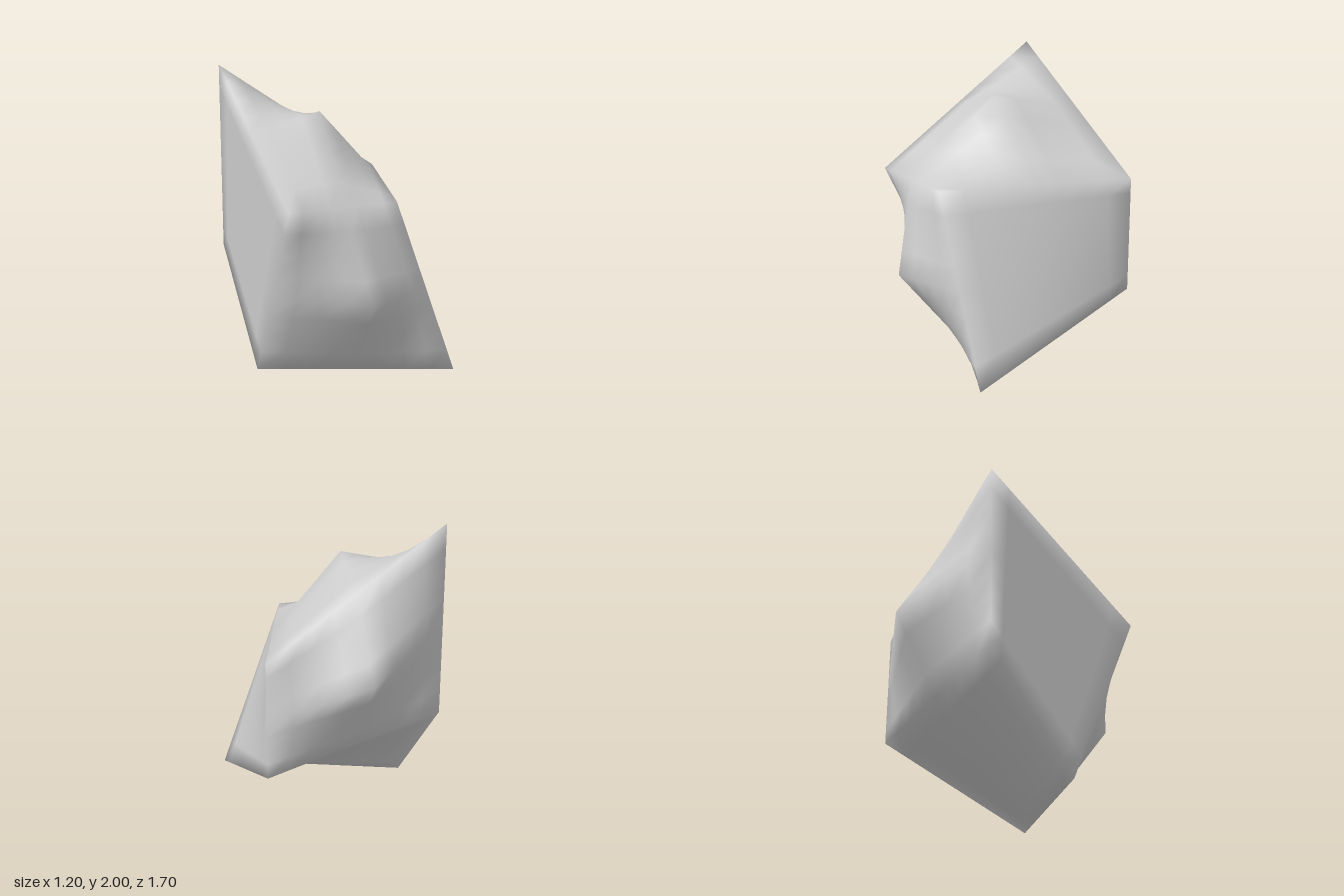
import * as THREE from 'three';
import { mergeVertices } from 'three/addons/utils/BufferGeometryUtils.js';

// Corners of the block, indexed by x + 2y + 4z (0 = low side, 1 = high side)
const CORNERS = [
  [-0.6, 0.72, -0.535], [0.6, 0.43, -0.535],
  [-0.6, 2.0, -0.535], [0.6, 1.21, -0.535],
  [-0.6, 0, 0.1], [0.6, 0, 0.67],
  [-0.6, 1.21, 0.67], [0.14, 1.21, 0.67],
].map((c) => new THREE.Vector3(...c));

const BUMP = 0.317;
const tent = (t) => 1 - Math.abs(2 * t - 1);

// Blend the eight corners at (u, v, w) in the unit cube
function blend(u, v, w) {
  const p = new THREE.Vector3();
  CORNERS.forEach((c, i) => {
    const weight = (i & 1 ? u : 1 - u) * (i & 2 ? v : 1 - v) * (i & 4 ? w : 1 - w);
    p.addScaledVector(c, weight);
  });
  return p;
}

export function createModel() {
  const group = new THREE.Group();
  group.name = 'crystalBlock';

  // Shared vertices give soft shading across all edges
  let geometry = new THREE.BoxGeometry(1, 1, 1, 8, 8, 8);
  geometry.deleteAttribute('uv');
  geometry.deleteAttribute('normal');
  geometry.clearGroups();
  geometry = mergeVertices(geometry, 1e-4);

  const pos = geometry.attributes.position;
  for (let i = 0; i < pos.count; i++) {
    const u = pos.getX(i) + 0.5, v = pos.getY(i) + 0.5, w = pos.getZ(i) + 0.5;
    const p = blend(u, v, w);
    // Peaks in the middle of the top, front and back
    if (v > 0.999) p.y += BUMP * tent(u) * tent(w);
    if (w > 0.999) p.z += BUMP * tent(u) * tent(v);
    if (w < 0.001) p.z -= BUMP * tent(u) * tent(v);
    pos.setXYZ(i, p.x, p.y, p.z);
  }
  geometry.computeVertexNormals();

  const block = new THREE.Mesh(geometry, new THREE.MeshStandardMaterial({ color: 0xcccccc }));
  block.name = 'block';
  group.add(block);
  return group;
}
